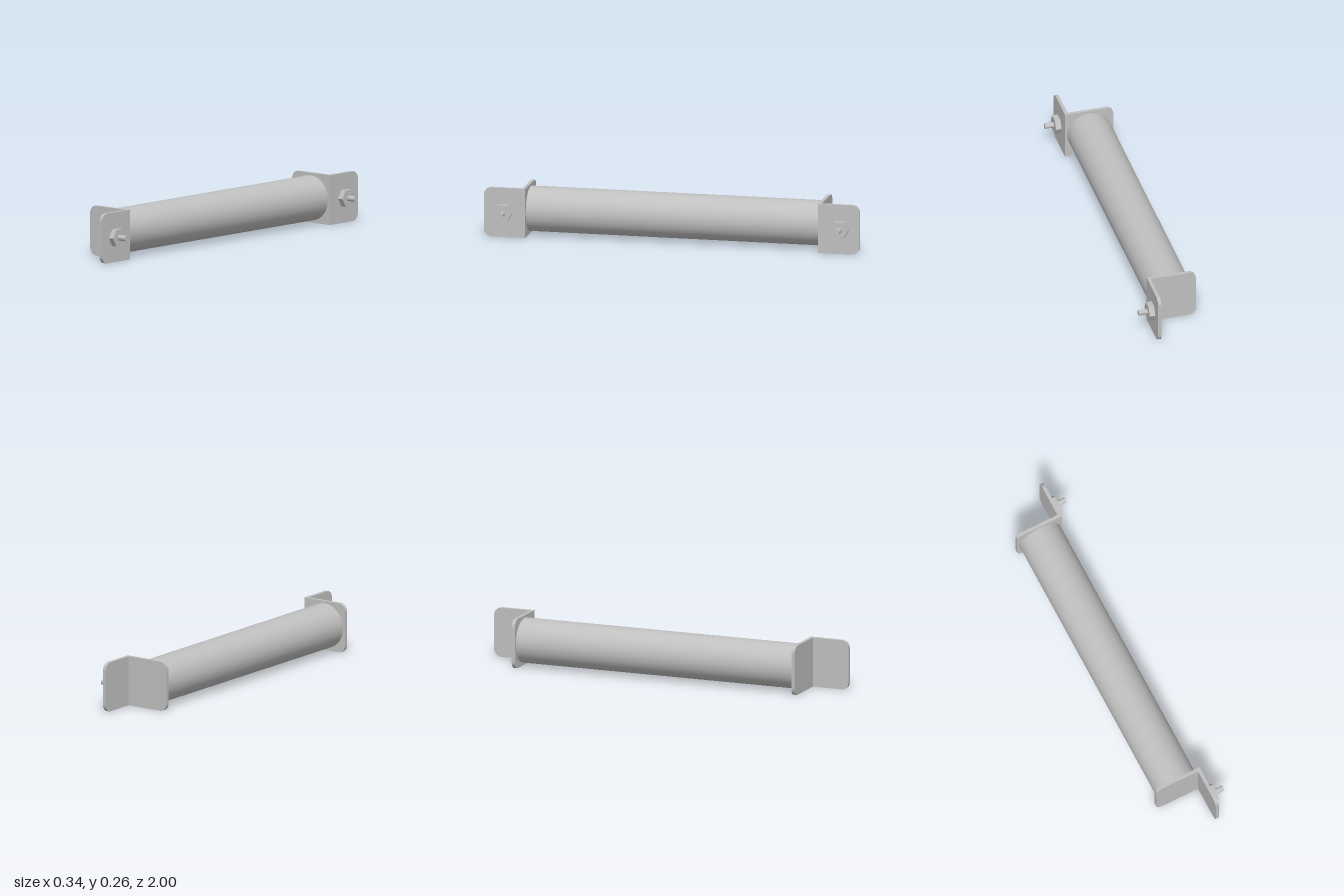
import * as THREE from 'three';

const H = 0.262;      // bracket height
const T = 0.018;      // sheet thickness
const FACE = 0.091;   // outer face of the mounting flanges
const PLATE_Z = 0.798;
const BOLT_Z = 0.896;

// Sheet from u = 0 to u = w, centred on y = 0, with both corners at u = w rounded
function sheet(w, r = 0.04) {
  const h = H / 2;
  const s = new THREE.Shape();
  s.moveTo(0, -h);
  s.lineTo(w - r, -h);
  s.absarc(w - r, -h + r, r, -Math.PI / 2, 0, false);
  s.lineTo(w, h - r);
  s.absarc(w - r, h - r, r, 0, Math.PI / 2, false);
  s.lineTo(0, h);
  s.closePath();
  return new THREE.ExtrudeGeometry(s, { depth: T, bevelEnabled: false, curveSegments: 3 });
}

export function createModel() {
  const steel = new THREE.MeshStandardMaterial({ color: 0xc0c0c0 });
  steel.name = 'steel grey';
  const model = new THREE.Group();
  model.name = 'mountedTube';

  function add(parent, name, geometry, x, y, z) {
    const mesh = new THREE.Mesh(geometry, steel);
    mesh.name = name;
    mesh.position.set(x, y, z);
    parent.add(mesh);
  }

  // Long tube between the end plates
  add(model, 'tube', new THREE.CylinderGeometry(0.118, 0.118, 2 * (PLATE_Z - T), 64).rotateX(Math.PI / 2),
    -0.04, H / 2, 0);

  // Angle bracket with stud and nut at each end; the back one is turned half round the x axis
  for (const end of ['front', 'back']) {
    const bracket = new THREE.Group();
    bracket.name = end + 'Bracket';
    bracket.position.y = H / 2;
    if (end === 'back') bracket.rotation.x = Math.PI;

    add(bracket, 'endPlate', sheet(0.262).rotateY(Math.PI), FACE, 0, PLATE_Z);
    add(bracket, 'mountingFlange', sheet(1 - PLATE_Z).rotateY(-Math.PI / 2), FACE, 0, PLATE_Z);

    const nut = new THREE.CylinderGeometry(0.05, 0.05, 0.03, 6).toNonIndexed();
    nut.computeVertexNormals();
    add(bracket, 'hexNut', nut.rotateZ(Math.PI / 2), FACE + 0.015, 0, BOLT_Z);
    add(bracket, 'stud', new THREE.CylinderGeometry(0.0145, 0.0145, 0.078, 24).rotateZ(Math.PI / 2),
      FACE + 0.039, 0, BOLT_Z);
    model.add(bracket);
  }
  return model;
}
